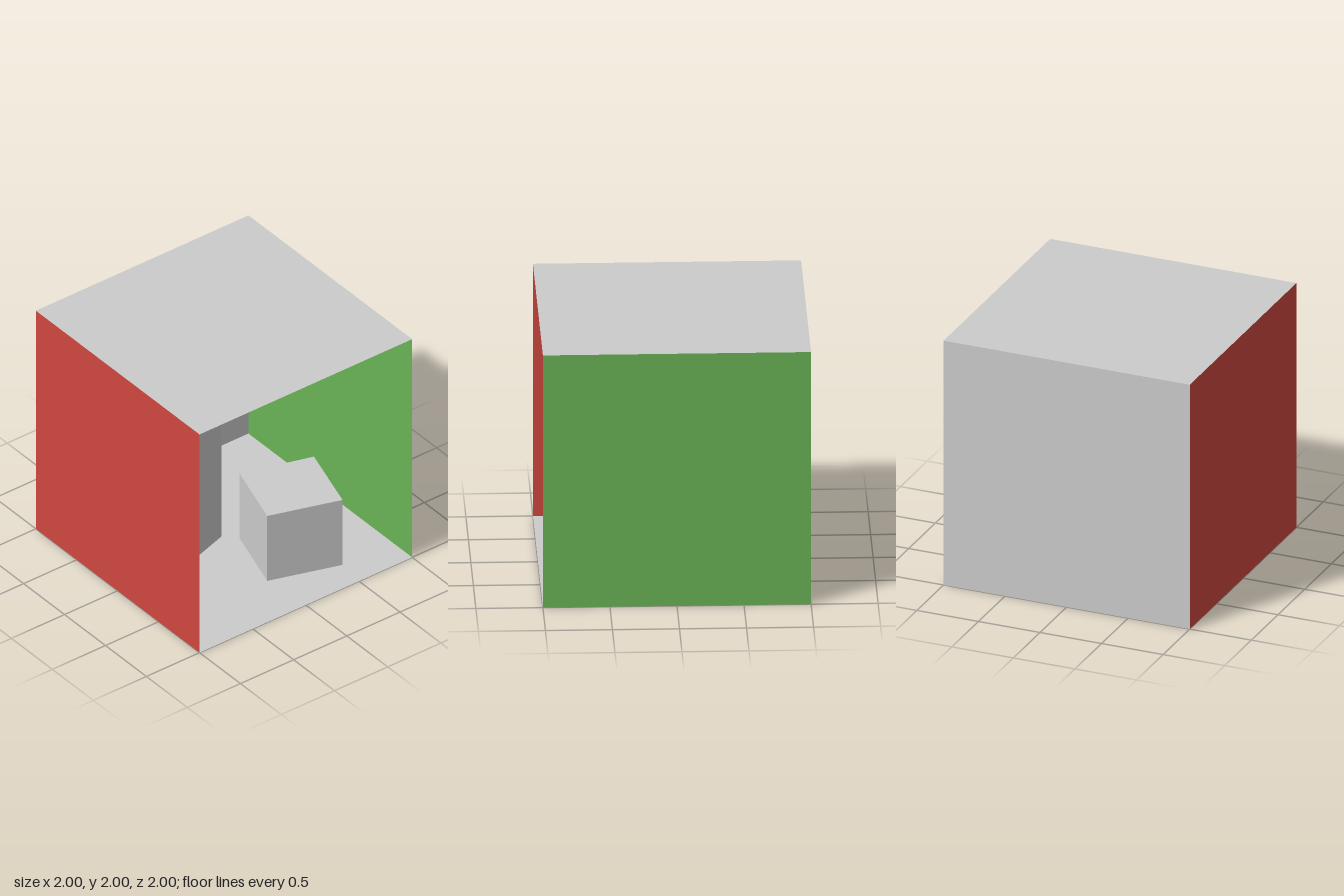
import * as THREE from 'three';

const SIZE = 2;

function material(color) {
  return new THREE.MeshStandardMaterial({ color, side: THREE.DoubleSide });
}

// Thin square panel: position, rotation and colour
function panel(name, position, rotation, mat) {
  const mesh = new THREE.Mesh(new THREE.PlaneGeometry(SIZE, SIZE), mat);
  mesh.name = name;
  mesh.position.set(...position);
  mesh.rotation.set(...rotation);
  return mesh;
}

// Upright block standing on the floor, from its [x, z] footprint corners
function block(name, corners, height, mat) {
  const shape = new THREE.Shape(corners.map(([x, z]) => new THREE.Vector2(x, -z)));
  const geometry = new THREE.ExtrudeGeometry(shape, { depth: height, bevelEnabled: false });
  geometry.rotateX(-Math.PI / 2);
  const mesh = new THREE.Mesh(geometry, mat);
  mesh.name = name;
  return mesh;
}

export function createModel() {
  const group = new THREE.Group();
  group.name = 'openRoom';
  const grey = material(0xcccccc);
  const red = material(0xd0483f);
  const green = material(0x69b355);
  const h = SIZE / 2;
  const q = Math.PI / 2;

  // Room shell, open at the front, with panels facing inward
  group.add(
    panel('floor', [0, 0, 0], [-q, 0, 0], grey),
    panel('ceiling', [0, SIZE, 0], [q, 0, 0], grey),
    panel('backWall', [0, h, -h], [0, 0, 0], grey),
    panel('rightWall', [-h, h, 0], [0, q, 0], red),
    panel('leftWall', [h, h, 0], [0, -q, 0], green),
  );

  // Two turned blocks inside
  group.add(
    block('tallBlock', [[-0.525, 0.1], [0.04, -0.08], [-0.13, -0.65], [-0.695, -0.47]], 1.195, grey),
    block('shortBlock', [[0.53, 0.76], [0.7, 0.19], [0.13, 0.02], [-0.04, 0.58]], 0.595, grey),
  );
  return group;
}
